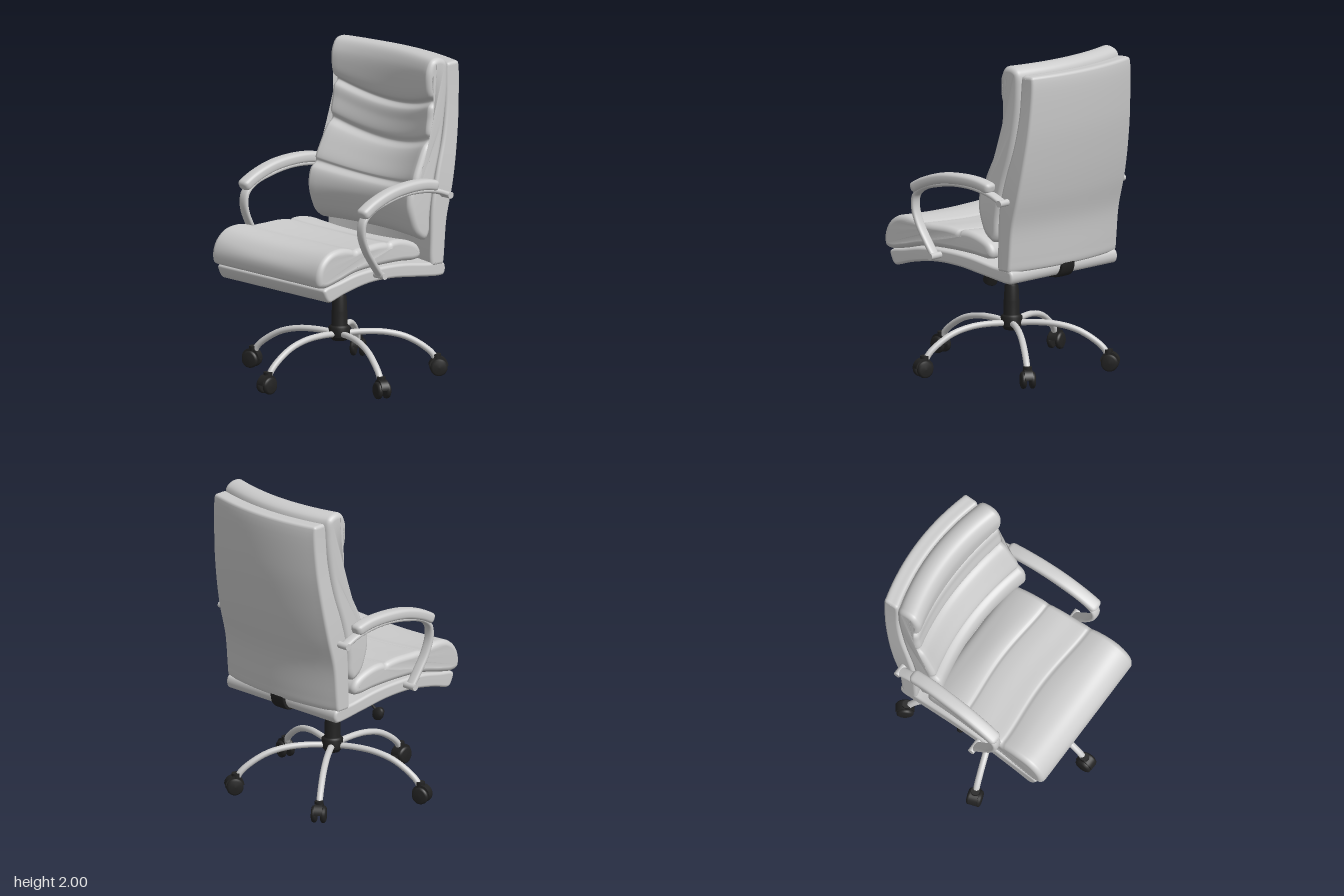
import * as THREE from 'three';

const grey = new THREE.MeshStandardMaterial({ color: 0xcccccc });
const black = new THREE.MeshStandardMaterial({ color: 0x222222 });
const V = (x, y, z) => new THREE.Vector3(x, y, z);
const lerp = THREE.MathUtils.lerp;
const smooth = THREE.MathUtils.smoothstep;

function add(parent, name, geometry, material, x = 0, y = 0, z = 0) {
  const mesh = new THREE.Mesh(geometry, material);
  mesh.name = name;
  mesh.position.set(x, y, z);
  parent.add(mesh);
  return mesh;
}

// Skin a list of equal-length rings and zip both ends shut
function loft(rings) {
  const n = rings[0].length, last = (rings.length - 1) * n;
  const pts = rings.flat(), idx = [];
  for (let i = 0; i < rings.length - 1; i++) {
    for (let j = 0; j < n; j++) {
      const a = i * n + j, b = i * n + (j + 1) % n;
      idx.push(a, b, b + n, a, b + n, a + n);
    }
  }
  for (let j = 0; j < n / 2; j++) {
    const a = j, b = j + 1, c = n - j - 1, d = (n - j) % n;
    for (const [p, q, r] of [[a, c, b], [a, d, c]]) {
      if (p === q || q === r || p === r) continue;
      idx.push(p, q, r, last + p, last + r, last + q);
    }
  }
  // Turn the faces outward
  let volume = 0;
  for (let k = 0; k < idx.length; k += 3) {
    volume += pts[idx[k]].dot(pts[idx[k + 1]].clone().cross(pts[idx[k + 2]]));
  }
  if (volume < 0) idx.reverse();
  const g = new THREE.BufferGeometry().setFromPoints(pts);
  g.setIndex(idx);
  g.computeVertexNormals();
  return g;
}

// Upholstered panel: a side profile of [z, y] swept across x with rounded sides
function panel(profile, halfWidth, round, deform, samples = 120) {
  const curve = new THREE.CatmullRomCurve3(profile.map(([z, y]) => V(0, y, z)), true, 'centripetal');
  const base = curve.getPoints(samples).slice(0, samples);
  let area = 0;
  base.forEach((p, i) => {
    const q = base[(i + 1) % samples];
    area += p.z * q.y - q.z * p.y;
  });
  const sign = Math.sign(area);
  const normals = base.map((p, i) => {
    const t = base[(i + 1) % samples].clone().sub(base[(i + samples - 1) % samples]).normalize();
    return V(0, -t.z * sign, t.y * sign);
  });
  const slices = [];
  for (let i = 0; i <= 6; i++) slices.push([-1, Math.PI / 2 * (1 - i / 6)]);
  for (let i = 1; i < 24; i++) slices.push([i / 12 - 1, 0]);
  for (let i = 0; i <= 6; i++) slices.push([1, Math.PI / 2 * i / 6]);
  return loft(slices.map(([u, a]) => base.map((b, j) => {
    const p = b.clone().addScaledVector(normals[j], -round * (1 - Math.cos(a)));
    p.x = u * (halfWidth(b) - round + round * Math.sin(a));
    deform(p, 1 - u * u);
    return p;
  })));
}

// Oval bar along a path; power squares the section, taper rounds the ends
function bar(points, rx, ry, power = 1, taper = 0, steps = 40) {
  const curve = new THREE.CatmullRomCurve3(points.map(p => V(...p)));
  const rings = [];
  for (let i = 0; i <= steps; i++) {
    const t = (1 - Math.cos(Math.PI * i / steps)) / 2;
    const c = curve.getPoint(t), d = curve.getTangent(t);
    const n = V(0, d.z, -d.y).normalize();
    const e = Math.min(1, Math.min(t, 1 - t) / (taper || 1));
    const s = taper ? lerp(0.35, 1, Math.sqrt(1 - (1 - e) ** 2)) : 1;
    const ring = [];
    for (let k = 0; k < 24; k++) {
      const a = k / 24 * Math.PI * 2, co = Math.cos(a), si = Math.sin(a);
      const px = Math.sign(co) * Math.abs(co) ** power, py = Math.sign(si) * Math.abs(si) ** power;
      ring.push(c.clone().add(V(px * rx * s, 0, 0)).addScaledVector(n, py * ry * s));
    }
    rings.push(ring);
  }
  return loft(rings);
}

const lathe = pts => new THREE.LatheGeometry(pts.map(([r, y]) => new THREE.Vector2(r, y)), 32);
const cyl = (r, h, r2 = r) => new THREE.CylinderGeometry(r, r2, h, 28);

export function createModel() {
  const chair = new THREE.Group();
  chair.name = 'officeChair';

  // Seat: lower base and padded cushion
  add(chair, 'seatBase', panel([
    [-0.455, 0.69], [-0.44, 0.73], [-0.3, 0.745], [-0.1, 0.775], [0.1, 0.785], [0.3, 0.775], [0.45, 0.745],
    [0.555, 0.725], [0.572, 0.71], [0.565, 0.68], [0.54, 0.64], [0.52, 0.632], [0.49, 0.638], [0.4, 0.665],
    [0.2, 0.7], [0, 0.7], [-0.2, 0.675], [-0.41, 0.65], [-0.44, 0.655],
  ], p => lerp(0.46, 0.477, smooth(p.z, -0.45, 0.4)), 0.018, () => {}), grey);

  add(chair, 'seatCushion', panel([
    [-0.27, 0.82], [-0.245, 0.865], [-0.18, 0.9], [-0.08, 0.925], [-0.015, 0.924], [0.005, 0.915], [0.025, 0.922],
    [0.1, 0.93], [0.2, 0.928], [0.285, 0.926], [0.305, 0.921], [0.33, 0.932], [0.42, 0.95], [0.52, 0.935],
    [0.59, 0.88], [0.62, 0.805], [0.61, 0.74], [0.56, 0.725], [0.45, 0.745], [0.3, 0.78], [0.1, 0.79],
    [-0.1, 0.785], [-0.22, 0.775], [-0.26, 0.785],
  ], p => lerp(0.445, 0.48, smooth(p.z, -0.3, 0.55)), 0.035, (p, c) => {
    const top = smooth(p.y, 0.8, 0.9);
    p.y -= 0.018 * c * top;
    p.z -= 0.03 * c * c * top * (1 - smooth(p.z, 0.3, 0.55)) * smooth(p.z, -0.2, 0);
  }, 160), grey);

  // Backrest: curved shell and rolled cushion
  add(chair, 'backShell', panel([
    [-0.39, 0.72], [-0.345, 0.722], [-0.335, 0.735], [-0.335, 0.9], [-0.345, 1.1], [-0.39, 1.3], [-0.45, 1.5],
    [-0.485, 1.7], [-0.5, 1.935], [-0.51, 1.953], [-0.55, 1.957], [-0.59, 1.955], [-0.6, 1.94], [-0.59, 1.65],
    [-0.555, 1.4], [-0.515, 1.2], [-0.465, 1.0], [-0.445, 0.8], [-0.437, 0.735], [-0.428, 0.722],
  ], p => lerp(0.465, 0.425, smooth(p.y, 1.1, 2)), 0.02, (p, c) => { p.z -= 0.055 * c; }), grey);

  add(chair, 'backCushion', panel([
    [-0.29, 0.89], [-0.22, 0.93], [-0.175, 1.02], [-0.155, 1.12], [-0.172, 1.21], [-0.212, 1.248], [-0.21, 1.275],
    [-0.25, 1.37], [-0.3, 1.46], [-0.342, 1.5], [-0.328, 1.54], [-0.34, 1.63], [-0.35, 1.7], [-0.38, 1.735],
    [-0.345, 1.77], [-0.33, 1.85], [-0.335, 1.93], [-0.37, 1.99], [-0.43, 2.0], [-0.485, 1.97], [-0.495, 1.85],
    [-0.475, 1.65], [-0.435, 1.45], [-0.375, 1.25], [-0.335, 1.05], [-0.325, 0.93],
  ], p => lerp(0.462, 0.443, smooth(p.y, 1, 1.7)), 0.035, (p, c) => {
    p.y -= 0.075 * c * smooth(p.y, 1, 1.5) * (1 - smooth(p.y, 1.74, 1.98));
    p.z -= 0.06 * c;
  }, 200), grey);

  // Arms
  for (const s of [1, -1]) {
    const arm = new THREE.Group();
    arm.name = s > 0 ? 'leftArm' : 'rightArm';
    chair.add(arm);
    add(arm, 'armPad', bar([
      [s * 0.527, 1.15, 0.315], [s * 0.525, 1.2, 0.22], [s * 0.521, 1.245, 0.08], [s * 0.515, 1.263, -0.08],
      [s * 0.508, 1.258, -0.22], [s * 0.504, 1.235, -0.33],
    ], 0.043, 0.034, 0.65, 0.05), grey);
    add(arm, 'armFrame', bar([
      [s * 0.505, 1.165, -0.42], [s * 0.505, 1.2, -0.33], [s * 0.508, 1.225, -0.2], [s * 0.513, 1.228, -0.05],
      [s * 0.518, 1.205, 0.1], [s * 0.522, 1.165, 0.23], [s * 0.522, 1.11, 0.295], [s * 0.52, 1.03, 0.305],
      [s * 0.518, 0.93, 0.27], [s * 0.516, 0.83, 0.205], [s * 0.515, 0.75, 0.145],
    ], 0.033, 0.017, 0.8, 0, 60), grey);
    add(arm, 'rearArmPin', cyl(0.021, 0.11), grey, s * 0.485, 1.163, -0.422).rotation.z = Math.PI / 2;
    add(arm, 'frontArmPin', cyl(0.021, 0.11), grey, s * 0.505, 0.752, 0.145).rotation.z = Math.PI / 2;
  }

  // Tilt mechanism under the seat
  const side = new THREE.Shape([[-0.2, 0.7], [-0.17, 0.66], [-0.06, 0.615], [0.09, 0.615], [0.14, 0.66], [0.14, 0.7]]
    .map(([x, y]) => new THREE.Vector2(x, y)));
  const plate = new THREE.ExtrudeGeometry(side, { depth: 0.13, bevelSize: 0.008, bevelThickness: 0.008, bevelSegments: 2 });
  plate.translate(0, 0, -0.065).rotateY(Math.PI / 2);
  add(chair, 'tiltMechanism', plate, black);
  add(chair, 'backBracket', bar([
    [0, 0.665, -0.08], [0, 0.652, -0.22], [0, 0.64, -0.38], [0, 0.655, -0.45], [0, 0.7, -0.475], [0, 0.78, -0.475],
  ], 0.055, 0.013, 0.4), black);

  // Tension knob, tilted forward
  const knob = new THREE.Group();
  knob.name = 'tensionKnob';
  knob.position.set(0.03, 0.66, 0.095);
  knob.rotation.x = -0.4;
  chair.add(knob);
  add(knob, 'knobStem', cyl(0.022, 0.1), black, 0, -0.04, 0);
  add(knob, 'knobGrip', lathe([[0, -0.165], [0.038, -0.165], [0.044, -0.155], [0.047, -0.085], [0.04, -0.075],
    [0.03, -0.06], [0, -0.06]]), black);

  // Height lever
  const lever = new THREE.CatmullRomCurve3([V(-0.05, 0.655, 0), V(-0.2, 0.655, -0.01), V(-0.33, 0.645, -0.02), V(-0.4, 0.605, -0.025)]);
  add(chair, 'heightLever', new THREE.TubeGeometry(lever, 24, 0.009, 10), black);
  const grip = add(chair, 'leverGrip', lathe([[0, -0.045], [0.025, -0.042], [0.038, -0.02], [0.036, 0.01],
    [0.022, 0.04], [0, 0.045]]), black, -0.412, 0.595, -0.025);
  grip.rotation.z = 0.75;
  grip.scale.z = 0.7;

  // Gas column and hub
  add(chair, 'gasColumn', lathe([[0, 0.235], [0.045, 0.24], [0.058, 0.26], [0.064, 0.265], [0.066, 0.32], [0.055, 0.33],
    [0.049, 0.335], [0.049, 0.42], [0.046, 0.425], [0.043, 0.51], [0.034, 0.52], [0.034, 0.55], [0.03, 0.555],
    [0.03, 0.63], [0, 0.63]]), black);
  for (let i = 0; i < 4; i++) {
    const ring = add(chair, 'columnRing', new THREE.TorusGeometry(0.032, 0.006, 8, 28), black, 0, 0.545 + i * 0.02, 0);
    ring.rotation.x = Math.PI / 2;
  }

  // Five legs, each with a twin-wheel caster
  const wheel = lathe([[0, -0.016], [0.042, -0.016], [0.051, -0.01], [0.053, 0], [0.051, 0.01], [0.04, 0.017], [0, 0.019]]);
  const hood = new THREE.CylinderGeometry(0.058, 0.058, 0.05, 24, 1, false, 0, Math.PI);
  for (let i = 0; i < 5; i++) {
    const leg = new THREE.Group();
    leg.name = 'baseLeg';
    leg.rotation.y = i * Math.PI * 2 / 5;
    chair.add(leg);
    add(leg, 'legTube', bar([
      [0, 0.28, 0.03], [0, 0.287, 0.15], [0, 0.28, 0.28], [0, 0.25, 0.4], [0, 0.195, 0.5], [0, 0.14, 0.565], [0, 0.095, 0.592],
    ], 0.02, 0.019), grey);
    const caster = new THREE.Group();
    caster.name = 'caster';
    caster.position.set(0, 0.053, 0.605);
    leg.add(caster);
    for (const s of [1, -1]) {
      add(caster, 'casterWheel', wheel, black, s * 0.028, 0, 0).rotation.z = -s * Math.PI / 2;
    }
    const cover = add(caster, 'casterHood', hood, black, 0, 0.008, 0);
    cover.rotation.z = Math.PI / 2;
    cover.material = new THREE.MeshStandardMaterial({ color: 0x222222, side: THREE.DoubleSide });
    add(caster, 'casterStem', cyl(0.027, 0.05), black, 0, 0.056, -0.01);
  }
  return chair;
}
